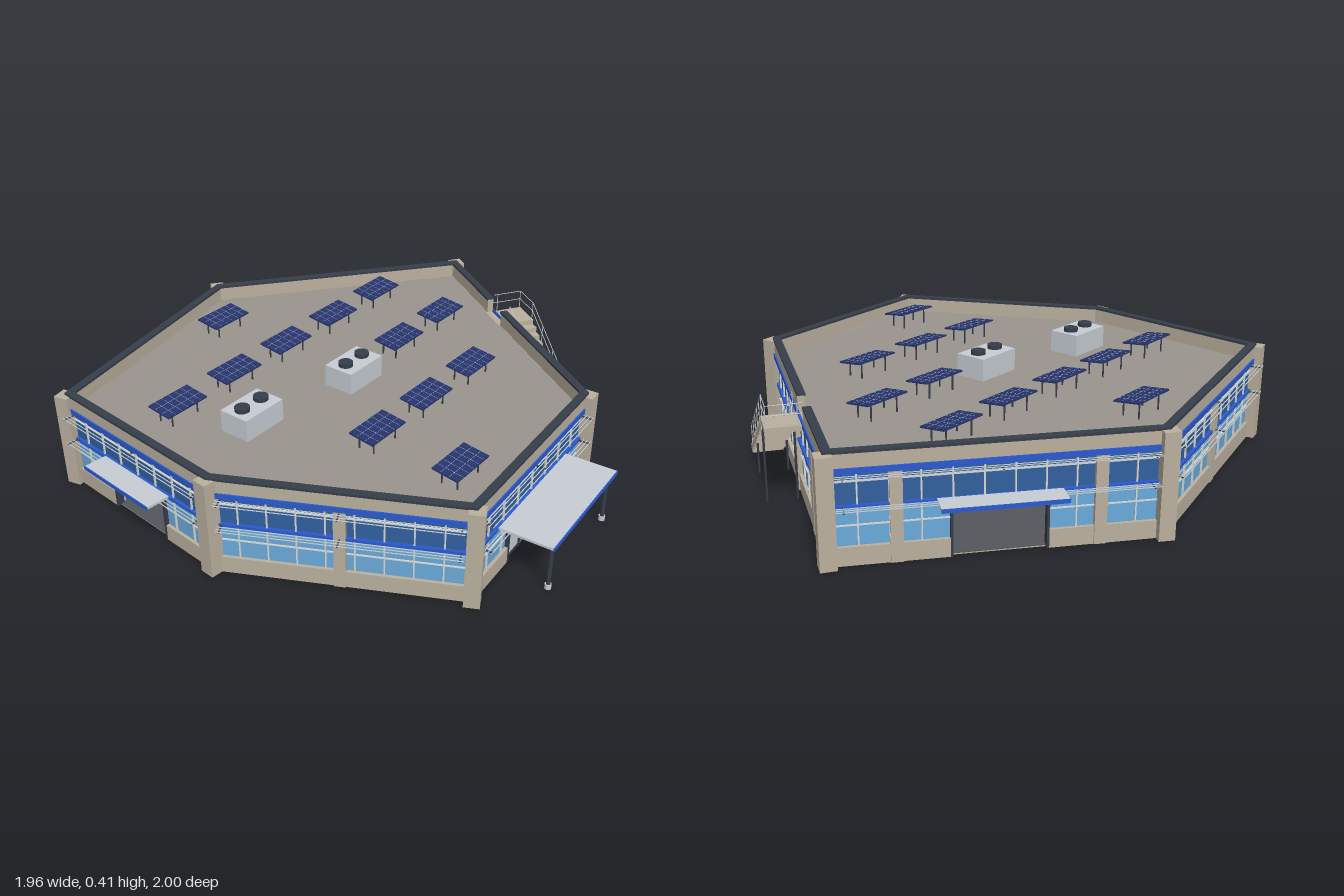
import * as THREE from 'three';

const mat = (name, color) => {
  const m = new THREE.MeshStandardMaterial({ color });
  m.name = name;
  return m;
};

export function createModel() {
  const M = {
    concrete: mat('concrete', 0xbab09e), roof: mat('roofGravel', 0x99948d), dark: mat('darkMetal', 0x363e4a),
    glassLow: mat('lightGlass', 0x6aabdc), glassHigh: mat('deepGlass', 0x32609f), trim: mat('paleTrim', 0xd6d8d6),
    blue: mat('blueTrim', 0x2a5ad0), solar: mat('solarNavy', 0x27346c), metal: mat('lightMetal', 0xc6cdd2),
    floor: mat('darkFloor', 0x53565b),
  };
  const root = new THREE.Group();
  root.name = 'building';

  // Box given by its lower and upper limits
  const box = (parent, name, m, x0, x1, y0, y1, z0, z1) => {
    const b = new THREE.Mesh(new THREE.BoxGeometry(x1 - x0, y1 - y0, z1 - z0), m);
    b.position.set((x0 + x1) / 2, (y0 + y1) / 2, (z0 + z1) / 2);
    b.name = name;
    parent.add(b);
  };
  // Round bar between two points
  const rod = (parent, name, m, a, b, r, sides = 8) => {
    const p = new THREE.Vector3(...a), q = new THREE.Vector3(...b);
    const d = q.clone().sub(p);
    const c = new THREE.Mesh(new THREE.CylinderGeometry(r, r, d.length(), sides), m);
    c.position.copy(p).add(q).multiplyScalar(0.5);
    c.quaternion.setFromUnitVectors(new THREE.Vector3(0, 1, 0), d.normalize());
    c.name = name;
    parent.add(c);
  };

  // Plan corners (x, z) and what stands on each side
  const corners = [[0.02, -0.97], [0.945, -0.46], [0.465, 0.645], [-0.325, 0.845], [-0.84, 0.16], [-0.905, -0.6]];
  const sides = [
    { name: 'backRightSide', piers: [0.2, 0.8], door: 0.3, canopy: [0.39, 0.085] },
    { name: 'stairSide', piers: [0.2, 0.5], gap: [0.08, 0.205] },
    { name: 'frontSide', piers: [], door: 0.33, canopy: [0.506, 0.196], posts: true },
    { name: 'frontLeftSide', piers: [0.5] },
    { name: 'leftSide', piers: [], door: 0.28, canopy: [0.35, 0.09] },
    { name: 'backLeftSide', piers: [0.5] },
  ];

  // Ground slab, inner floor, ceiling and roof
  const slab = (name, m, y, h) => {
    const s = new THREE.Shape(corners.map(([x, z]) => new THREE.Vector2(x * 0.985, -z * 0.985)));
    const g = new THREE.ExtrudeGeometry(s, { depth: h, bevelEnabled: false }).rotateX(-Math.PI / 2);
    const o = new THREE.Mesh(g, m);
    o.position.y = y;
    o.name = name;
    root.add(o);
  };
  slab('groundSlab', M.concrete, 0, 0.004);
  slab('innerFloor', M.floor, 0.004, 0.003);
  slab('ceiling', M.metal, 0.292, 0.004);
  slab('roofSlab', M.roof, 0.296, 0.014);

  const frames = sides.map((s, i) => {
    const [ax, az] = corners[i], [bx, bz] = corners[(i + 1) % 6];
    const L = Math.hypot(bx - ax, bz - az), h = L / 2;
    const g = new THREE.Group();
    g.name = s.name;
    g.position.set((ax + bx) / 2, 0, (az + bz) / 2);
    g.rotation.y = Math.atan2(bz - az, ax - bx);
    root.add(g);

    // Corner pillar
    box(g, 'cornerPillar', M.concrete, h - 0.027, h + 0.027, 0, 0.366, -0.027, 0.027);

    // Plinth with pale inner lining and lower glazing, open at the entrance
    const w = (s.door || 0) / 2;
    for (const [a, b] of w ? [[-h, -w], [w, h]] : [[-h, h]]) {
      box(g, 'plinth', M.concrete, a, b, 0, 0.062, -0.03, 0);
      box(g, 'innerLining', M.metal, a, b, 0.007, 0.062, -0.034, -0.03);
      box(g, 'lowerGlass', M.glassLow, a, b, 0.062, 0.192, -0.02, -0.012);
      box(g, 'transom', M.trim, a, b, 0.128, 0.132, -0.012, -0.007);
    }
    if (w) for (const e of [-1, 1]) box(g, 'entranceFrame', M.dark, e * w - 0.004, e * w + 0.004, 0, 0.19, -0.025, 0.002);

    // Upper glazing, mullions and bands
    box(g, 'upperGlass', M.glassHigh, -h, h, 0.192, 0.3, -0.02, -0.012);
    box(g, 'transom', M.trim, -h, h, 0.27, 0.274, -0.012, -0.007);
    const n = Math.round(L / 0.1);
    for (let k = 1; k < n; k++) {
      const x = -h + (L * k) / n;
      box(g, 'mullion', M.trim, x - 0.0025, x + 0.0025, Math.abs(x) < w ? 0.192 : 0.062, 0.3, -0.012, -0.006);
    }
    box(g, 'middleBand', M.blue, -h, h, 0.187, 0.197, -0.02, 0);
    for (const t of s.piers) {
      const x = h - t * L;
      box(g, 'pier', M.concrete, x - 0.02, x + 0.02, 0, 0.3, -0.03, 0.004);
    }

    // Parapet with coping, left open at the stair landing
    box(g, 'fascia', M.concrete, -h, h, 0.298, 0.31, -0.025, 0);
    box(g, 'blueStripe', M.blue, -h, h, 0.3, 0.319, -0.002, 0.005);
    for (const [a, b] of s.gap ? [[-h, s.gap[0]], [s.gap[1], h]] : [[-h, h]]) {
      box(g, 'parapet', M.concrete, a, b, 0.31, 0.366, -0.024, 0);
      box(g, 'coping', M.dark, a, b, 0.364, 0.373, -0.028, 0.001);
    }

    // Sun shades
    if (!s.gap) {
      for (const y of [0.196, 0.298]) {
        for (const z of [0.015, 0.028, 0.041]) box(g, 'shadeSlat', M.metal, -h + 0.03, h - 0.03, y - 0.001, y + 0.001, z - 0.0015, z + 0.0015);
        for (const t of [-0.45, 0, 0.45]) box(g, 'shadeBracket', M.dark, t * L - 0.002, t * L + 0.002, y - 0.005, y - 0.001, 0, 0.042);
      }
    }

    // Entrance canopy
    if (s.canopy) {
      const [cw, cd] = s.canopy, c = cw / 2;
      box(g, 'canopy', M.metal, -c, c, 0.191, 0.2, 0, cd - 0.004);
      box(g, 'canopyEdge', M.blue, -c, c, 0.188, 0.201, cd - 0.004, cd);
    }
    if (s.posts) {
      for (const x of [-0.21, 0.225]) {
        rod(g, 'canopyPost', M.dark, [x, 0, 0.17], [x, 0.192, 0.17], 0.008);
        rod(g, 'postFoot', M.metal, [x, 0, 0.17], [x, 0.018, 0.17], 0.012);
      }
      // Door leaf standing beside the open entrance
      for (const x of [-w, -0.072]) box(g, 'doorStile', M.dark, x, x + 0.009, 0, 0.187, -0.018, -0.006);
      for (const y of [0.007, 0.14]) box(g, 'doorRail', M.dark, -w, -0.072, y, y + 0.006, -0.018, -0.006);
      box(g, 'doorPane', M.metal, -w, -0.07, 0.01, 0.143, -0.016, -0.01);
      box(g, 'doorTopPane', M.glassLow, -w, -0.07, 0.143, 0.187, -0.016, -0.01);
    }
    return g;
  });

  // Outside stair along its wall
  const stair = new THREE.Group();
  stair.name = 'stair';
  frames[1].add(stair);
  const z0 = 0.012, z1 = 0.125, steps = 15, top = 0.31, run = 0.495 / steps, rise = top / (steps + 1);
  box(stair, 'landing', M.concrete, 0.08, 0.205, top - 0.02, top, -0.03, z1);
  for (let k = 0; k < steps; k++) {
    const x = -0.415 + k * run, y = (k + 1) * rise;
    box(stair, 'step', M.concrete, x, x + run * 1.25, Math.max(0, y - rise * 1.5), y, z0, z1);
  }
  for (const z of [z0 + 0.005, z1 - 0.005]) {
    for (const [x, y] of [[-0.17, 0.14], [0.085, 0.295]]) rod(stair, 'stairSupport', M.dark, [x, 0, z], [x, y, z], 0.004);
    for (const up of [0.04, 0.075]) rod(stair, 'handrail', M.metal, [-0.405, rise + up, z], [0.085, top + up, z], 0.0015);
    for (let k = 0; k <= 5; k++) {
      const x = -0.405 + k * 0.098, y = rise + (k / 5) * (top - rise);
      rod(stair, 'railPost', M.metal, [x, y - 0.005, z], [x, y + 0.075, z], 0.0015);
    }
    rod(stair, 'railPost', M.metal, [0.202, top, z], [0.202, top + 0.075, z], 0.0015);
  }
  for (const up of [0.04, 0.075]) {
    rod(stair, 'landingRail', M.metal, [0.085, top + up, z1 - 0.005], [0.202, top + up, z1 - 0.005], 0.0015);
    rod(stair, 'landingRail', M.metal, [0.202, top + up, z1 - 0.005], [0.202, top + up, 0], 0.0015);
  }

  // Solar panels on legs, tilted to the front
  const turn = 0.176;
  const spots = [[-0.135, -0.712], [-0.64, -0.285], [-0.357, -0.338], [-0.075, -0.387], [0.21, -0.44], [0.493, -0.493],
    [0.267, -0.117], [0.547, -0.17], [-0.24, 0.308], [0.04, 0.26], [0.325, 0.207], [-0.182, 0.637]];
  for (const [x, z] of spots) {
    const g = new THREE.Group();
    g.name = 'solarPanel';
    g.position.set(x, 0.31, z);
    g.rotation.y = turn;
    root.add(g);
    const p = new THREE.Group();
    p.name = 'panelTop';
    p.position.y = 0.06;
    p.rotation.x = 0.12;
    g.add(p);
    box(p, 'panelSheet', M.solar, -0.092, 0.092, -0.003, 0.003, -0.05, 0.05);
    for (let k = 1; k < 6; k++) {
      const c = -0.092 + k * 0.0307;
      box(p, 'cellLine', M.trim, c - 0.0004, c + 0.0004, 0.003, 0.0034, -0.05, 0.05);
    }
    for (const c of [-0.017, 0.017]) box(p, 'cellLine', M.trim, -0.092, 0.092, 0.003, 0.0034, c - 0.0004, c + 0.0004);
    for (const a of [-0.06, 0.06]) {
      rod(g, 'panelLeg', M.dark, [a, 0, -0.03], [a, 0.062, -0.03], 0.003);
      rod(g, 'panelLeg', M.dark, [a, 0, 0.03], [a, 0.055, 0.03], 0.003);
    }
  }

  // Rooftop cooling units with two fans each
  for (const [x, z] of [[-0.483, -0.066], [-0.016, -0.063]]) {
    const g = new THREE.Group();
    g.name = 'coolingUnit';
    g.position.set(x, 0.31, z);
    g.rotation.y = turn;
    root.add(g);
    box(g, 'unitBody', M.metal, -0.092, 0.092, 0, 0.082, -0.06, 0.06);
    for (const a of [-0.047, 0.047]) rod(g, 'fan', M.dark, [a, 0.08, 0], [a, 0.097, 0], 0.027, 20);
  }
  return root;
}
